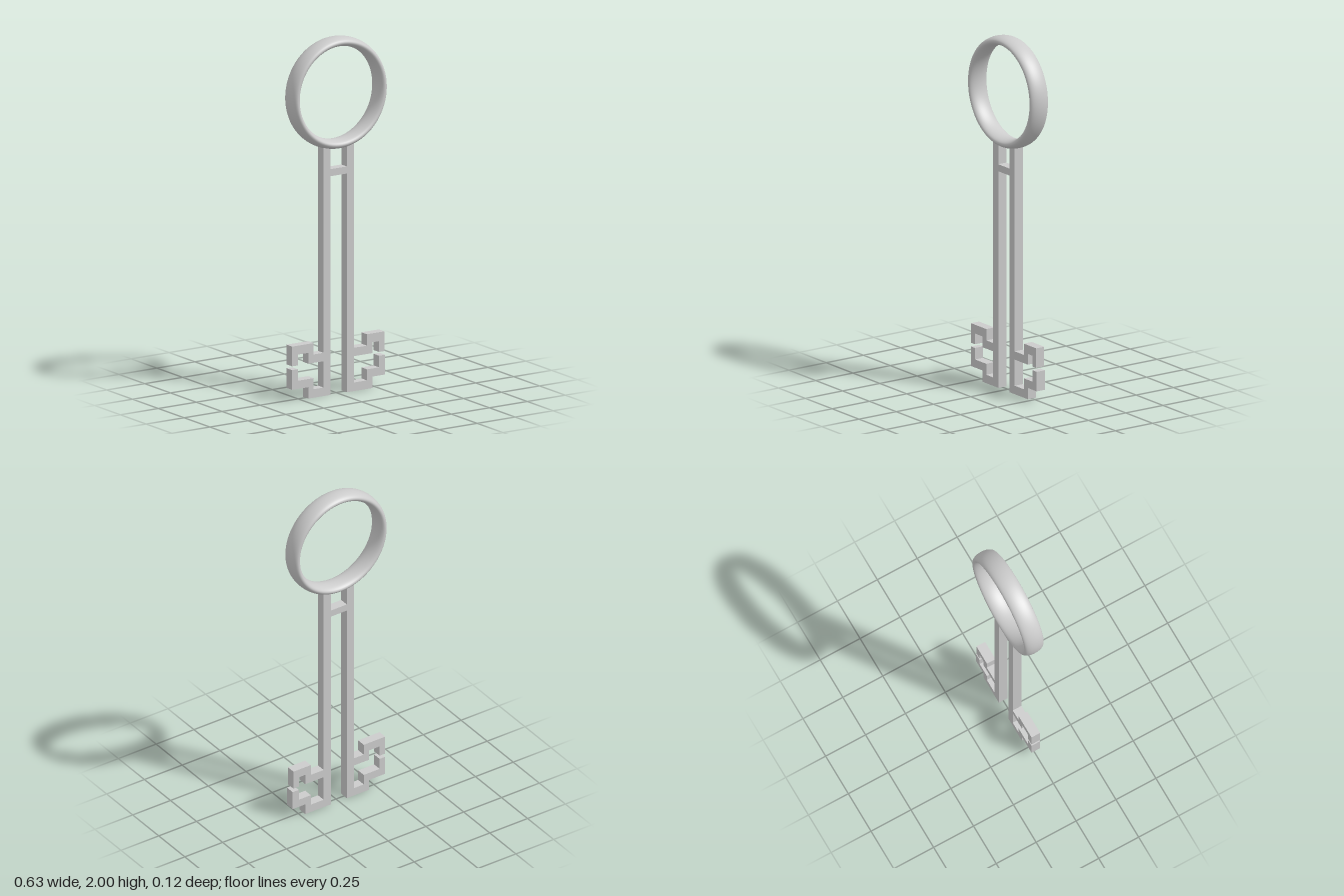
import * as THREE from 'three';

const DEPTH = 0.054;
const material = new THREE.MeshStandardMaterial({ color: 0xcccccc });

// Flat plate cut from an outline and centred on z = 0
function plate(name, points) {
  const shape = new THREE.Shape(points.map(([x, y]) => new THREE.Vector2(x, y)));
  const geometry = new THREE.ExtrudeGeometry(shape, { depth: DEPTH, bevelEnabled: false });
  geometry.translate(0, 0, -DEPTH / 2);
  const mesh = new THREE.Mesh(geometry, material);
  mesh.name = name;
  return mesh;
}

// One shank bar with its pair of stepped, hooked teeth.
// side: +1 or -1; step: x of the upper faces of the steps; notch: x of the lower faces;
// lip: inner x of the hooks; upper / lower: outer x of the two hooks
function shank(name, side, { upperOut, upperIn, lowerOut, lowerIn, lip, upper, lower }) {
  const outline = [
    [0.053, 0], [lowerOut, 0], [lowerOut, 0.064], [lower, 0.064], [lower, 0.175],
    [lip, 0.175], [lip, 0.11], [lowerIn, 0.11], [lowerIn, 0.048], [0.1, 0.048],
    [0.1, 0.196], [upperOut, 0.196], [upperOut, 0.257], [lip, 0.257], [lip, 0.196],
    [upper, 0.196], [upper, 0.307], [upperIn, 0.307], [upperIn, 0.243], [0.1, 0.243],
    [0.1, 1.41], [0.053, 1.41],
  ];
  return plate(name, outline.map(([x, y]) => [side * x, y]));
}

export function createModel() {
  const key = new THREE.Group();
  key.name = 'key';

  // Ring handle: a torus stretched in z into a wide oval band
  const ringGeometry = new THREE.TorusGeometry(0.2865, 0.0265, 32, 96);
  ringGeometry.scale(1, 1, 0.059 / 0.0265);
  const ring = new THREE.Mesh(ringGeometry, material);
  ring.name = 'ringHandle';
  ring.position.y = 1.687;
  key.add(ring);

  // Two parallel shanks, their teeth slightly different
  key.add(shank('leftShank', 1, {
    upperOut: 0.222, upperIn: 0.185, lowerOut: 0.222, lowerIn: 0.185,
    lip: 0.265, upper: 0.3, lower: 0.305,
  }));
  key.add(shank('rightShank', -1, {
    upperOut: 0.2, upperIn: 0.165, lowerOut: 0.2, lowerIn: 0.165,
    lip: 0.27, upper: 0.307, lower: 0.307,
  }));

  // Short bar joining the shanks under the ring
  const crossbar = new THREE.Mesh(new THREE.BoxGeometry(0.108, 0.04, DEPTH), material);
  crossbar.name = 'crossbar';
  crossbar.position.y = 1.248;
  key.add(crossbar);

  return key;
}
